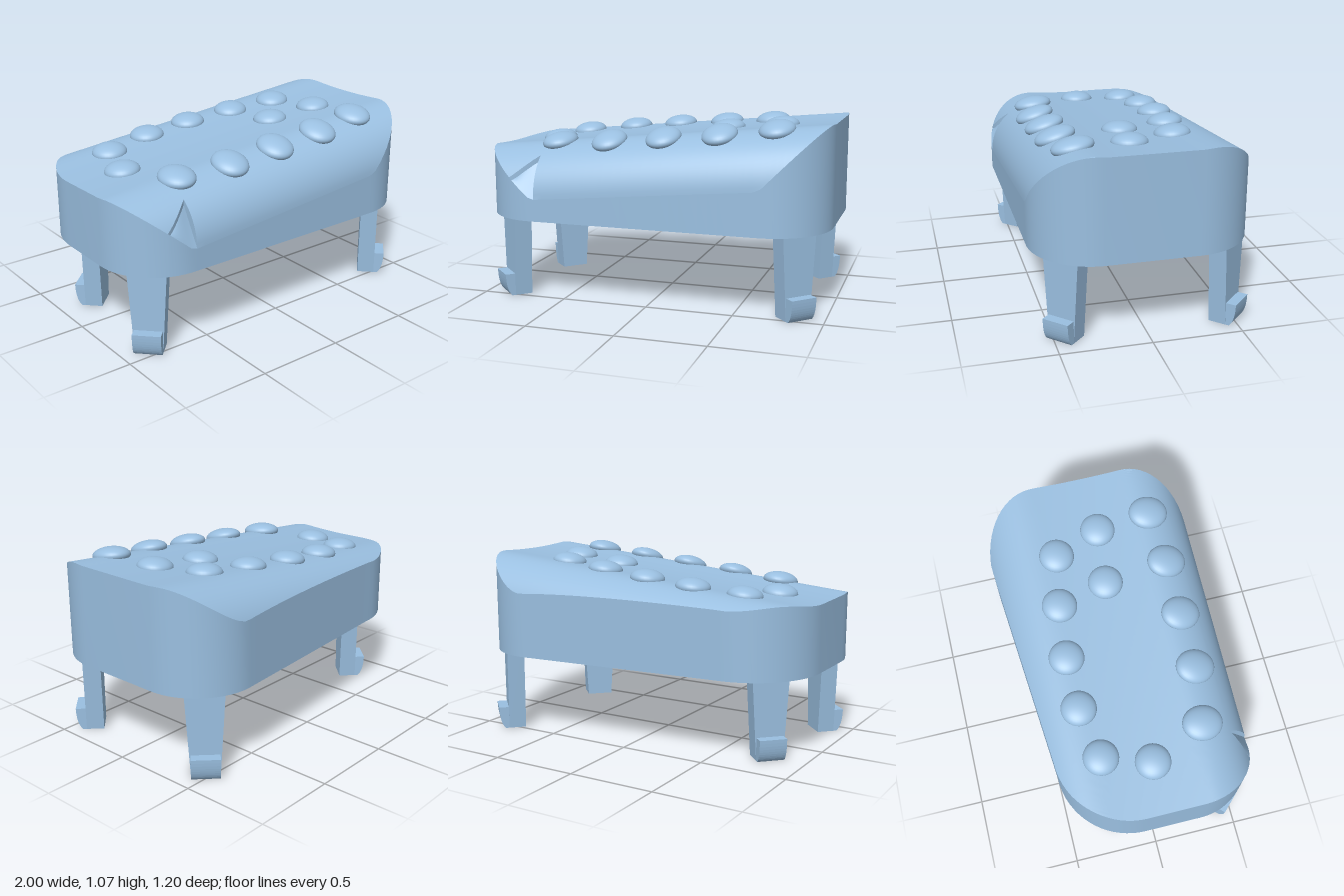
import * as THREE from 'three';
import { toCreasedNormals } from 'three/addons/utils/BufferGeometryUtils.js';

const RIM = 0.47, WALL = 0.06, NOTCH_L = -0.79, NOTCH_R = -0.63;
const V = (x, y, z) => new THREE.Vector3(x, y, z);
const arc = (r, d) => Math.sqrt(Math.max(0, r * r - d * d));

// Plan outline, inset by w: front and back edge at a given x
function frontEdge(x, w) {
  return 0.25 + arc(0.35 - w, Math.max(0, Math.abs(x) - 0.65));
}
function backEdge(x, w) {
  if (x > 0.65) return -0.25 - arc(0.35 - w, x - 0.65);
  if (x < -0.58) return -0.08 - arc(0.42 - w, x + 0.58);
  return THREE.MathUtils.mapLinear(x, -0.58, 0.65, -0.5, -0.6) + w;
}

// Sloping top with a shallow dip and rounded long edges
function height(x, z) {
  const d = z > 0 ? z - 0.3 : -z - 0.33;
  const roll = d > 0 ? 0.3 - arc(0.3, d) : 0;
  const dip = 0.012 * Math.max(0, 1 - (z / 0.3) ** 2);
  return 0.953 + 0.0915 * x - roll - dip;
}

// Smooth surface through rows of points
function surface(rows) {
  const n = rows[0].length, index = [];
  for (let i = 0; i < rows.length - 1; i++) {
    for (let j = 0; j < n - 1; j++) {
      const a = i * n + j, d = a + n;
      index.push(a, a + 1, d, a + 1, d + 1, d);
    }
  }
  const geo = new THREE.BufferGeometry().setFromPoints(rows.flat());
  geo.setIndex(index);
  return toCreasedNormals(geo, 0.5);
}

export function createModel() {
  const model = new THREE.Group();
  const blue = new THREE.MeshStandardMaterial({ color: 0x9abfe0 });
  blue.name = 'light blue';
  const add = (name, geo, parent = model) => {
    const mesh = new THREE.Mesh(geo, blue);
    mesh.name = name;
    parent.add(mesh);
    return mesh;
  };

  // Stations along x, closer together at the rounded ends
  const xs = [NOTCH_L, NOTCH_R];
  for (let i = 0; i <= 56; i++) xs.push(-Math.cos((i / 56) * Math.PI));
  xs.sort((a, b) => a - b);

  // One cross-section of the top; the cut section has the notch floor
  function section(x, w, drop, cut) {
    const zb = backEdge(x, w), zf = frontEdge(x, w);
    const gap = 0.115 * THREE.MathUtils.clamp((x - NOTCH_L) / (NOTCH_R - NOTCH_L), 0, 1);
    const zc = zf - gap, pts = [];
    for (let j = 0; j <= 36; j++) {
      const t = (1 - Math.cos((j / 36) * Math.PI)) / 2;
      const z = zb + (zc - zb) * t;
      pts.push(V(x, height(x, z) - drop, z));
    }
    for (let j = 0; j <= 10; j++) {
      const t = 1 - (1 - j / 10) ** 2, z = zc + gap * t;
      const y = cut && gap > 1e-6
        ? THREE.MathUtils.lerp(height(x, zc) - 0.03, height(x, zf), t)
        : height(x, z);
      pts.push(V(x, y - drop, z));
    }
    return pts;
  }

  const topRows = [];
  for (const x of xs) {
    topRows.push(section(x, 0, 0, x >= NOTCH_L && x <= NOTCH_R));
    if (x === NOTCH_R) topRows.push(section(x, 0, 0, false));
  }
  add('top', surface(topRows));

  const innerXs = xs.map((x) => x * (1 - WALL));
  add('ceiling', surface(innerXs.map((x) => section(x, WALL, WALL, false)).reverse()));

  // Outer wall, lower rim and inner wall
  function ring(list, w, yOf) {
    const front = list.map((x) => [x, frontEdge(x, w)]);
    const back = list.map((x) => [x, backEdge(x, w)]).reverse();
    return [...front, ...back, front[0]].map(([x, z]) => V(x, yOf(x, z), z));
  }
  const flat = () => RIM;
  const outerLow = ring(xs, 0, flat), innerLow = ring(innerXs, WALL, flat);
  add('outerWall', surface([outerLow, ring(xs, 0, height)]));
  add('rim', surface([innerLow, outerLow]));
  add('innerWall', surface([ring(innerXs, WALL, (x, z) => height(x, z) - WALL), innerLow]));

  // Round post inside
  add('post', new THREE.CylinderGeometry(0.2, 0.2, 0.34, 40)).position.set(0.03, 0.73, 0.05);

  // Domes sitting square on the top surface: x, z
  const domes = [
    [-0.57, 0.34], [-0.25, 0.385], [0.07, 0.385], [0.39, 0.385], [0.7, 0.355],
    [-0.71, 0.025], [0.345, 0.015], [0.665, 0.045],
    [-0.625, -0.245], [-0.335, -0.3], [-0.04, -0.3], [0.265, -0.27], [0.56, -0.22],
  ];
  const domeGeo = new THREE.SphereGeometry(1, 32, 20);
  for (const [x, z] of domes) {
    const dome = add('dome', domeGeo), e = 0.02;
    const slopeX = (height(x + e, z) - height(x - e, z)) / (2 * e);
    const slopeZ = (height(x, z + e) - height(x, z - e)) / (2 * e);
    dome.position.set(x, height(x, z), z);
    dome.scale.set(0.1, 0.05, z > 0.3 ? 0.115 : 0.1);
    dome.quaternion.setFromUnitVectors(V(0, 1, 0), V(-slopeX, 1, -slopeZ).normalize());
  }

  // Tapered legs with outward hooks; local +z points outward
  const legShape = new THREE.Shape([
    new THREE.Vector2(-0.078, 0), new THREE.Vector2(0.078, 0),
    new THREE.Vector2(0.112, 0.56), new THREE.Vector2(-0.112, 0.56),
  ]);
  const legGeo = new THREE.ExtrudeGeometry(legShape, { depth: 0.1, bevelEnabled: false });
  legGeo.translate(0, 0, -0.1);

  const hookShape = new THREE.Shape();
  hookShape.moveTo(-0.02, 0);
  hookShape.lineTo(0.02, 0);
  hookShape.quadraticCurveTo(0.055, 0.03, 0.057, 0.13);
  hookShape.lineTo(-0.02, 0.13);
  hookShape.closePath();
  const hookGeo = new THREE.ExtrudeGeometry(hookShape, { depth: 0.156, bevelEnabled: false, curveSegments: 10 });
  hookGeo.translate(0, 0, -0.078);
  hookGeo.rotateY(-Math.PI / 2);

  const legs = [
    ['frontLeftLeg', 0.855, 0.46], ['frontRightLeg', -0.855, 0.46],
    ['backLeftLeg', 0.855, -0.49], ['backRightLeg', -0.8, -0.265],
  ];
  for (const [name, x, z] of legs) {
    const leg = new THREE.Group();
    leg.name = name;
    leg.position.set(x, 0, z);
    leg.rotation.y = Math.atan2(Math.sign(x), Math.sign(z));
    add('strut', legGeo, leg);
    add('hook', hookGeo, leg);
    model.add(leg);
  }
  return model;
}
